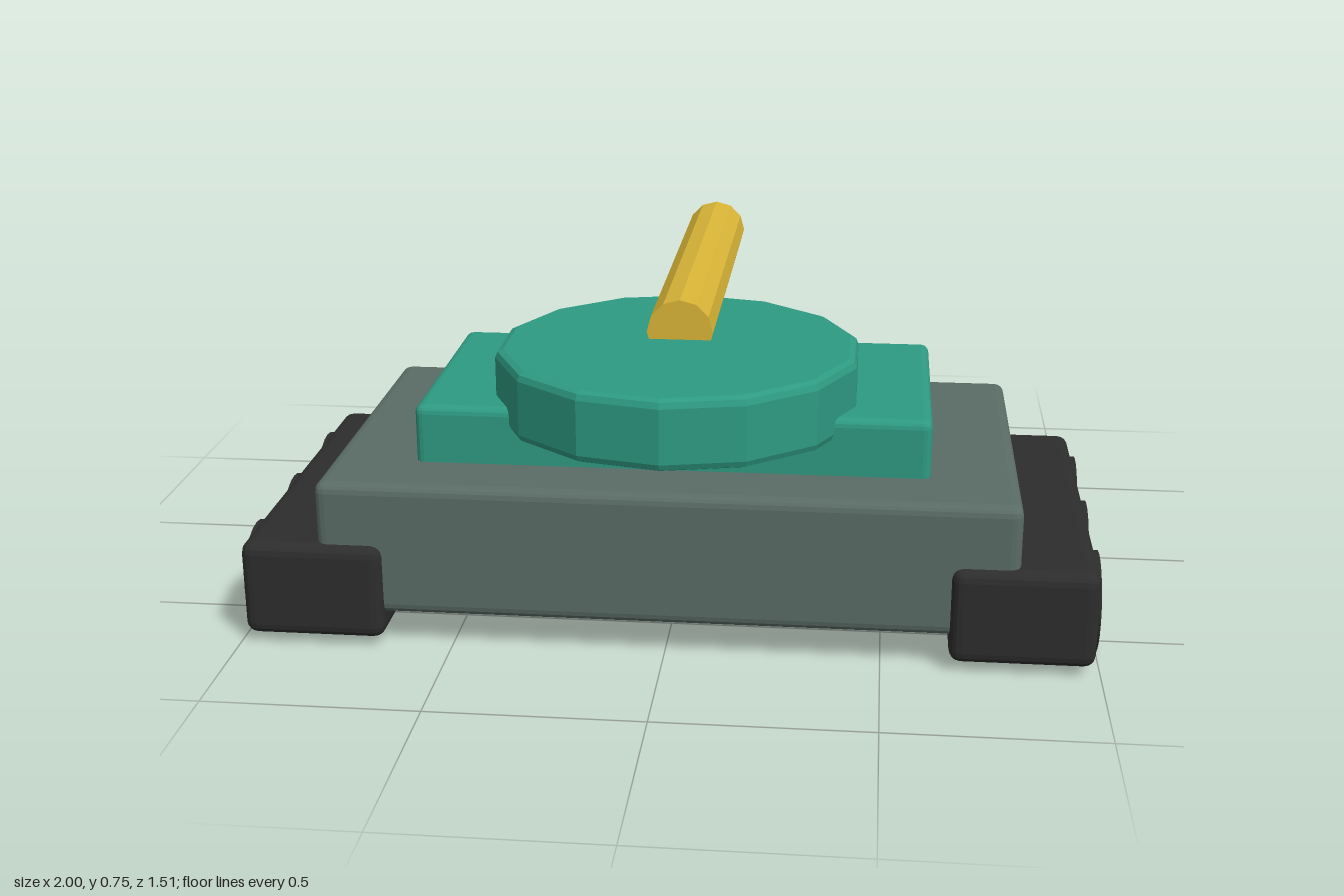
import * as THREE from 'three';
import { RoundedBoxGeometry } from 'three/addons/geometries/RoundedBoxGeometry.js';

function material(name, color) {
  const m = new THREE.MeshStandardMaterial({ color, flatShading: true });
  m.name = name;
  return m;
}

export function createModel() {
  const model = new THREE.Group();
  model.name = 'tank';
  const green = material('turretGreen', 0x2e9a82);
  const grey = material('hullGrey', 0x5a6b65);
  const yellow = material('gunYellow', 0xd9b537);
  const black = material('trackBlack', 0x2d2d2d);

  function add(name, geometry, mat, parent = model) {
    const mesh = new THREE.Mesh(geometry, mat);
    mesh.name = name;
    parent.add(mesh);
    return mesh;
  }

  // Box with softened edges, given by its limits on each axis
  function block(name, [x0, x1], [y0, y1], [z0, z1], radius, mat, parent) {
    const g = new RoundedBoxGeometry(x1 - x0, y1 - y0, z1 - z0, 2, radius);
    g.translate((x0 + x1) / 2, (y0 + y1) / 2, (z0 + z1) / 2);
    return add(name, g, mat, parent);
  }

  // Hull, upper deck and rear stowage box
  block('hull', [-0.81, 0.81], [0.08, 0.4], [-0.228, 0.682], 0.025, grey);
  block('deck', [-0.605, 0.605], [0.3, 0.538], [-0.11, 0.515], 0.02, green);
  block('rearBox', [-0.575, 0.575], [0.283, 0.442], [-0.25, -0.08], 0.02, yellow);

  // Fourteen-sided turret with bevelled rims
  const r = 0.438, y0 = 0.482, y1 = 0.652;
  const profile = [
    [0, y0], [r - 0.02, y0], [r - 0.006, y0 + 0.006], [r, y0 + 0.02],
    [r, y1 - 0.02], [r - 0.006, y1 - 0.006], [r - 0.02, y1], [0, y1],
  ].map(([x, y]) => new THREE.Vector2(x, y));
  add('turret', new THREE.LatheGeometry(profile, 14), green).position.z = 0.318;

  // Gun barrel pointing to the rear
  const barrel = new THREE.CylinderGeometry(0.08, 0.08, 1.05, 12);
  barrel.rotateX(Math.PI / 2);
  add('barrel', barrel, yellow).position.set(0, 0.67, -0.23);

  // Tracks with three wheels and hubs on each side
  for (const side of [1, -1]) {
    const track = new THREE.Group();
    track.name = side > 0 ? 'leftTrack' : 'rightTrack';
    model.add(track);
    const xs = side > 0 ? [0.655, 0.988] : [-0.988, -0.655];
    block('trackBody', xs, [0.022, 0.252], [-0.25, 0.705], 0.028, black, track);
    for (const z of [-0.085, 0.228, 0.54]) {
      const wheel = new THREE.CylinderGeometry(0.12, 0.12, 0.266, 24);
      wheel.rotateZ(Math.PI / 2);
      add('wheel', wheel, black, track).position.set(side * 0.863, 0.12, z);
      const hub = new THREE.CylinderGeometry(0.049, 0.049, 0.05, 20);
      hub.rotateZ(Math.PI / 2);
      add('hub', hub, yellow, track).position.set(side * 0.975, 0.122, z);
    }
  }
  return model;
}
